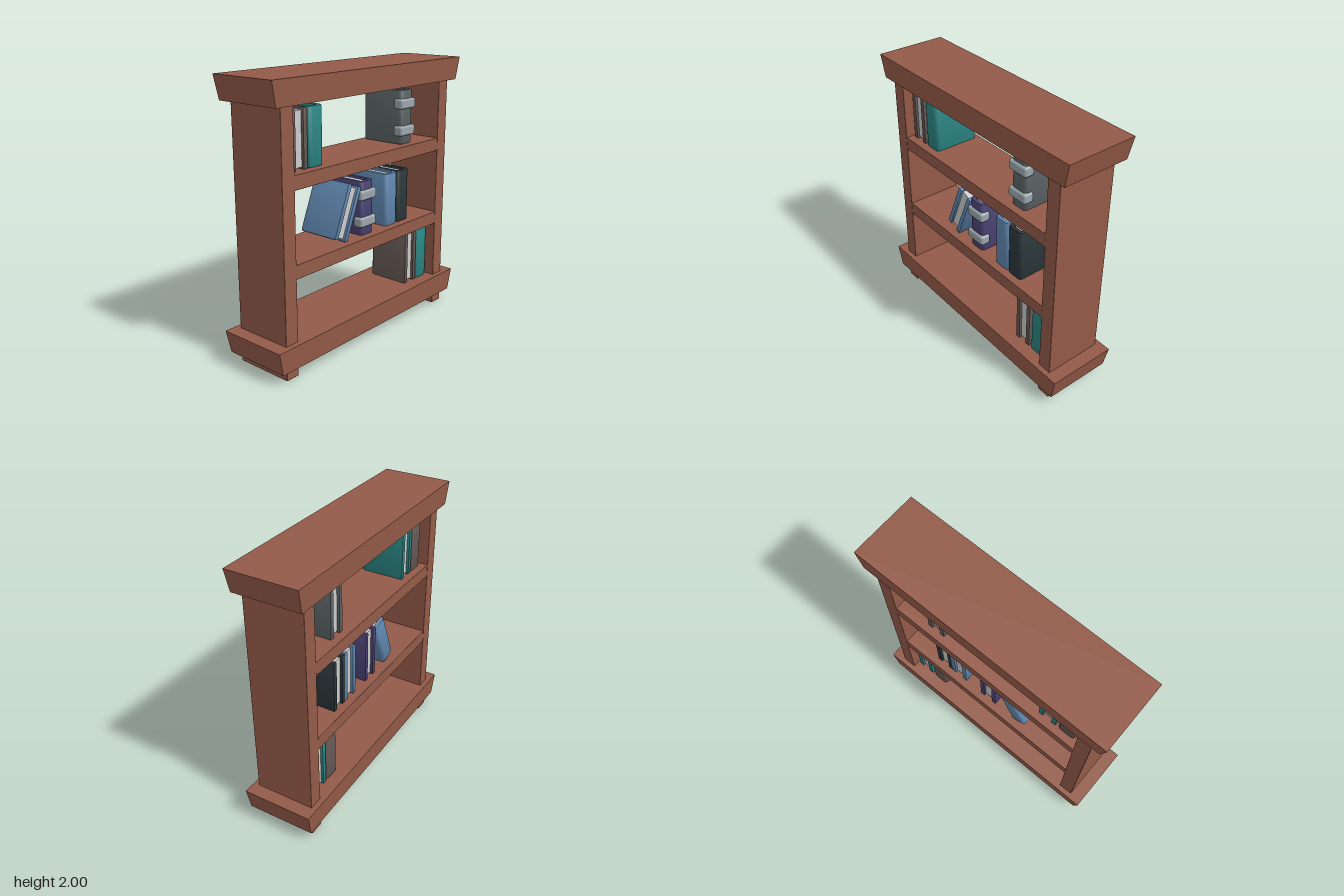
import * as THREE from 'three';
import { RoundedBoxGeometry } from 'three/addons/geometries/RoundedBoxGeometry.js';
import { toCreasedNormals } from 'three/addons/utils/BufferGeometryUtils.js';

const mat = (color) => new THREE.MeshStandardMaterial({ color });
const wood = mat(0x935a48);
const paper = mat(0xc6c6c6);
const metal = mat(0x9aa5ab);
const brown = mat(0x665955), teal = mat(0x2a8583), grey = mat(0x5b6365);
const purple = mat(0x4a4374), blue = mat(0x5f86ae), dark = mat(0x2b373b);

const W = 0.14, D = 0.34; // book thickness and depth

function add(parent, name, geometry, material, x = 0, y = 0, z = 0) {
  const mesh = new THREE.Mesh(geometry, material);
  mesh.name = name;
  mesh.position.set(x, y, z);
  parent.add(mesh);
  return mesh;
}

const plank = (w, h, d) => new RoundedBoxGeometry(w, h, d, 1, 0.004);

// Board that narrows towards its underside
function taperedBoard(w, h, d, sx, sz) {
  const g = new THREE.BoxGeometry(w, h, d);
  const p = g.attributes.position;
  for (let i = 0; i < p.count; i++) {
    if (p.getY(i) < 0) p.setXYZ(i, p.getX(i) * sx, p.getY(i), p.getZ(i) * sz);
  }
  g.computeVertexNormals();
  return g;
}

// U-shaped cover: rounded spine at +z, open towards -z
function coverGeometry(h) {
  const x = W / 2, z = D / 2, t = 0.034, r = 0.035, b = 0.012;
  const s = new THREE.Shape();
  s.moveTo(-x, z);
  s.lineTo(-x, -z + r);
  s.quadraticCurveTo(-x, -z, -x + r, -z);
  s.lineTo(x - r, -z);
  s.quadraticCurveTo(x, -z, x, -z + r);
  s.lineTo(x, z);
  s.lineTo(x - t, z);
  s.lineTo(x - t, -z + t);
  s.lineTo(-x + t, -z + t);
  s.lineTo(-x + t, z);
  s.closePath();
  const g = new THREE.ExtrudeGeometry(s, {
    depth: h - 2 * b, curveSegments: 5,
    bevelThickness: b, bevelSize: b, bevelOffset: -b, bevelSegments: 2,
  });
  g.translate(0, 0, b - h / 2);
  g.rotateX(-Math.PI / 2);
  return toCreasedNormals(g, 0.7);
}

// Book centred on its own origin; a reversed one shows its pages in front
function makeBook(name, material, { h = 0.405, reversed = false, bands = false } = {}) {
  const book = new THREE.Group();
  book.name = name;
  add(book, 'cover', coverGeometry(h), material);
  add(book, 'pages', new THREE.BoxGeometry(W - 0.062, h - 0.035, D - 0.045), paper, 0, 0, -0.003);
  if (bands) {
    for (const y of [-0.1, 0.1]) {
      add(book, 'spineBand', new RoundedBoxGeometry(W + 0.03, 0.075, 0.08, 3, 0.018), metal, 0, y, 0.147);
    }
  }
  if (reversed) book.rotation.y = Math.PI;
  return book;
}

export function createModel() {
  const model = new THREE.Group();
  model.name = 'bookcase';

  // Frame
  add(model, 'topBoard', taperedBoard(1.99, 0.17, 0.53, 0.964, 0.97), wood, 0, 1.915);
  add(model, 'baseBoard', taperedBoard(1.99, 0.17, 0.53, 0.964, 0.97), wood, 0, 0.165);
  for (const side of [-1, 1]) {
    add(model, 'sidePost', plank(0.11, 1.6, 0.45), wood, side * 0.84, 1.04);
    add(model, 'foot', plank(0.11, 0.1, 0.45), wood, side * 0.84, 0.05);
  }
  for (const y of [0.74, 1.338]) {
    add(model, 'shelf', plank(1.58, 0.1, 0.445), wood, 0, y);
  }

  // Upright books: name, material, centre x, shelf height, options
  const books = [
    ['brownBook', brown, -0.68, 1.388, { reversed: true }],
    ['tealBook', teal, -0.525, 1.388, {}],
    ['greyBandedBook', grey, 0.455, 1.388, { bands: true }],
    ['purpleBandedBook', purple, 0, 0.79, { bands: true }],
    ['blueBook', blue, 0.285, 0.79, {}],
    ['darkBook', dark, 0.426, 0.79, {}],
    ['brownBook', brown, 0.54, 0.25, { h: 0.415, reversed: true }],
    ['tealBook', teal, 0.692, 0.25, { h: 0.415 }],
  ];
  for (const [name, material, x, y, options] of books) {
    const book = makeBook(name, material, options);
    book.position.set(x, y + (options.h ?? 0.405) / 2, 0);
    model.add(book);
  }

  // Book leaning against its neighbour
  const leaning = new THREE.Group();
  leaning.name = 'leaningBook';
  leaning.add(makeBook('blueBook', blue, { reversed: true }));
  leaning.position.set(-0.212, 0.998, 0);
  leaning.rotation.z = -0.385;
  model.add(leaning);

  return model;
}
